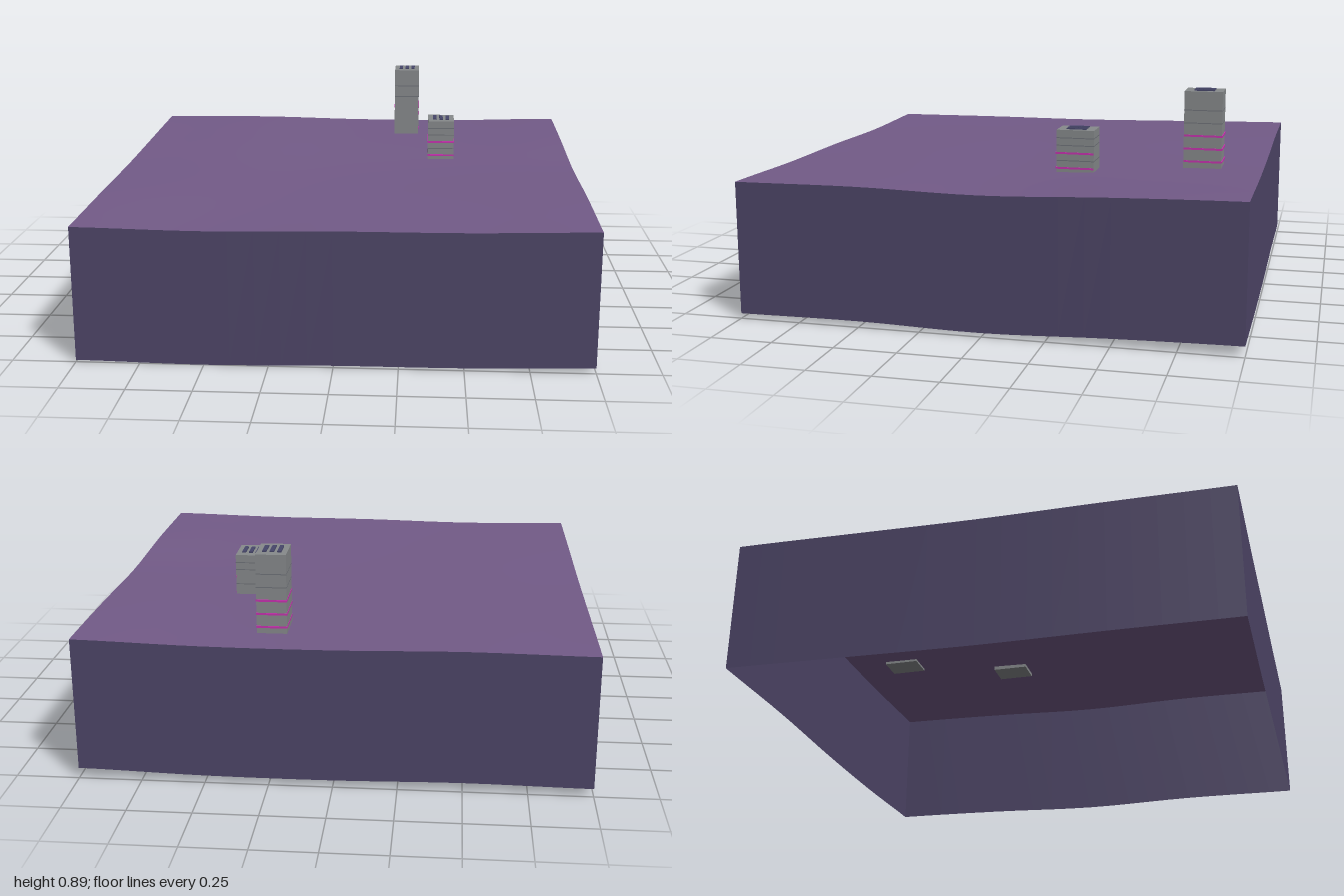
import * as THREE from 'three';

const mat = (name, color, side = THREE.FrontSide) => {
  const m = new THREE.MeshStandardMaterial({ color, side });
  m.name = name;
  return m;
};

// Ground heights on a 5 x 5 grid: rows run back to front, columns left to right in x
const HEIGHTS = [
  [0.570, 0.575, 0.566, 0.567, 0.580],
  [0.560, 0.566, 0.560, 0.560, 0.570],
  [0.550, 0.554, 0.550, 0.549, 0.553],
  [0.549, 0.546, 0.547, 0.552, 0.562],
  [0.545, 0.537, 0.545, 0.547, 0.558],
];
const DEPTH = 0.537;

// Smooth interpolation through five evenly spaced values, t from -1 to 1
function sample(v, t) {
  const u = (t + 1) * 2;
  const i = Math.max(0, Math.min(3, Math.floor(u)));
  const f = u - i;
  const a = v[Math.max(0, i - 1)], b = v[i], c = v[i + 1], d = v[Math.min(4, i + 2)];
  return b + 0.5 * f * (c - a + f * (2 * a - 5 * b + 4 * c - d + f * (3 * (b - c) + d - a)));
}
const groundHeight = (x, z) => sample(HEIGHTS.map((row) => sample(row, x)), z);

export function createModel() {
  const ground = mat('ground purple', 0x735b88, THREE.DoubleSide);
  const earth = mat('earth violet', 0x4e4668, THREE.DoubleSide);
  const concrete = mat('concrete grey', 0x878a8c);
  const seam = mat('seam grey', 0x6f7279);
  const neon = mat('neon magenta', 0xc733b0);
  const vent = mat('vent blue', 0x46466a);

  const model = new THREE.Group();
  const add = (parent, name, geo, material, x = 0, y = 0, z = 0) => {
    const mesh = new THREE.Mesh(geo, material);
    mesh.name = name;
    mesh.position.set(x, y, z);
    parent.add(mesh);
    return mesh;
  };

  // Gently rolling ground sheet
  const sheet = new THREE.PlaneGeometry(2, 2, 20, 20).rotateX(-Math.PI / 2);
  const p = sheet.attributes.position;
  for (let i = 0; i < p.count; i++) p.setY(i, groundHeight(p.getX(i), p.getZ(i)));
  sheet.computeVertexNormals();
  add(model, 'ground', sheet, ground);

  // Four skirt walls following the ground edge, open underneath
  ['front', 'left', 'back', 'right'].forEach((side, k) => {
    const wall = new THREE.PlaneGeometry(2, 1, 20, 1).translate(0, 0, 1).rotateY(k * Math.PI / 2);
    const w = wall.attributes.position;
    for (let i = 0; i < w.count; i++) {
      const h = groundHeight(w.getX(i), w.getZ(i));
      w.setY(i, w.getY(i) > 0 ? h : h - DEPTH);
    }
    add(model, side + 'Wall', wall, earth);
  });

  // Towers with light bands, floor seams and roof vents
  const W = 0.118, D = 0.156;
  function tower(name, x, z, base, top, neonYs, seamYs, facing) {
    const g = new THREE.Group();
    g.name = name;
    g.position.set(x, 0, z);
    model.add(g);
    add(g, 'towerBody', new THREE.BoxGeometry(W, top - base, D), concrete, 0, (top + base) / 2, 0);
    for (const y of neonYs) {
      add(g, 'lightBand', new THREE.BoxGeometry(W + 0.003, 0.008, D + 0.003), neon, 0, y, facing * 0.002);
    }
    for (const y of seamYs) {
      add(g, 'floorSeam', new THREE.BoxGeometry(W + 0.001, 0.004, D + 0.001), seam, 0, y, 0);
    }
    for (const s of [-1, 0, 1]) {
      add(g, 'roofVent', new THREE.BoxGeometry(0.016, 0.006, 0.082), vent, s * 0.029, top + 0.002, 0);
    }
  }
  tower('tallTower', 0.249, -0.75, 0.552, 0.881, [0.59, 0.643, 0.697], [0.75, 0.803], -1);
  tower('shortTower', 0.414, -0.25, 0.538, 0.728, [0.57, 0.632], [0.601, 0.664, 0.695], 1);

  return model;
}
